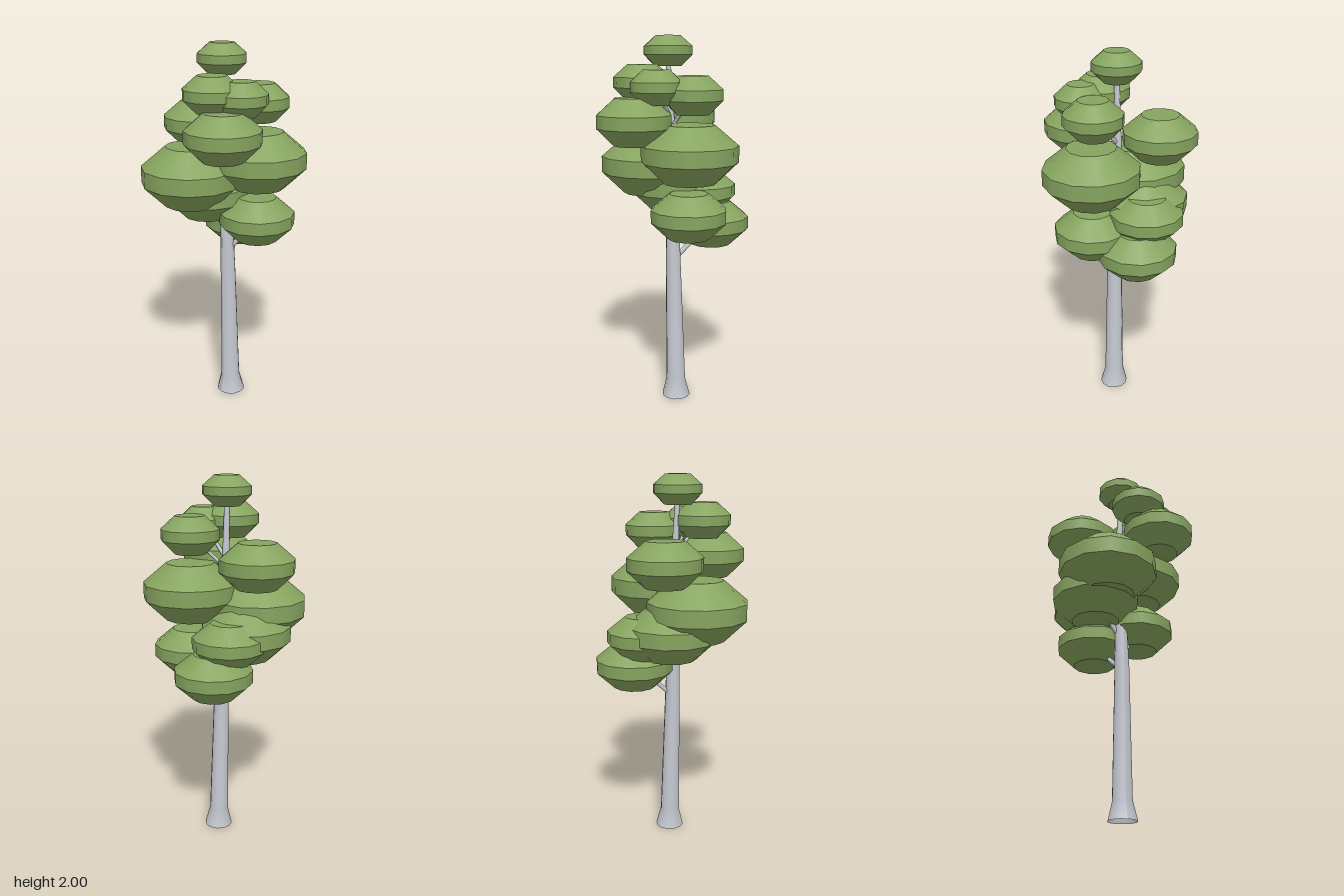
import * as THREE from 'three';
import { mergeGeometries } from 'three/addons/utils/BufferGeometryUtils.js';

const leafGreen = new THREE.MeshStandardMaterial({ color: 0x86a45f });
const barkGrey = new THREE.MeshStandardMaterial({ color: 0xc4c8d0, side: THREE.DoubleSide });
leafGreen.name = 'leafGreen';
barkGrey.name = 'barkGrey';

// Leaf clumps: x, z, bottom y, top y, radius
const CLUMPS = [
  [0.01, 0.025, 1.845, 2.0, 0.128],
  [0.077, 0.15, 1.67, 1.855, 0.15],
  [0.19, 0.058, 1.655, 1.83, 0.135],
  [0.138, -0.12, 1.605, 1.80, 0.154],
  [-0.21, -0.01, 1.445, 1.68, 0.196],
  [0.185, 0.175, 1.45, 1.69, 0.196],
  [0.15, -0.107, 1.255, 1.555, 0.253],
  [-0.103, 0.143, 1.155, 1.472, 0.267],
  [-0.13, 0.01, 1.055, 1.335, 0.238],
  [-0.13, -0.135, 1.06, 1.28, 0.195],
  [0.15, -0.103, 0.96, 1.20, 0.202],
  [-0.075, -0.2, 0.88, 1.12, 0.208],
];

// Trunk rings: y, centre x, centre z, radius
const TRUNK = [
  [0, 0.034, -0.022, 0.078],
  [0.1, 0.032, -0.02, 0.053],
  [0.8, 0.026, -0.004, 0.041],
  [1.05, 0.02, 0, 0.034],
  [1.5, 0.006, 0.008, 0.021],
  [1.9, 0.01, 0.025, 0.012],
];

// Trunk centre at a given height
function trunkPoint(y) {
  let i = 1;
  while (i < TRUNK.length - 1 && TRUNK[i][0] < y) i++;
  const a = TRUNK[i - 1], b = TRUNK[i], t = (y - a[0]) / (b[0] - a[0]);
  return new THREE.Vector3(a[1] + (b[1] - a[1]) * t, y, a[2] + (b[2] - a[2]) * t);
}

// One open tube bent through the trunk rings
function trunkGeometry() {
  const sides = 12, n = TRUNK.length;
  const geo = new THREE.CylinderGeometry(1, 1, 1, sides, n - 1, true);
  const p = geo.attributes.position;
  for (let i = 0; i < p.count; i++) {
    const [y, cx, cz, r] = TRUNK[n - 1 - Math.floor(i / (sides + 1))];
    p.setXYZ(i, cx + p.getX(i) * r, y, cz + p.getZ(i) * r);
  }
  geo.computeVertexNormals();
  return geo;
}

// Flat-capped clump: smooth around, sharp between the rings
function clumpGeometry(r, h) {
  const rings = [[0, 0.55], [0.37, 1], [0.65, 1], [1, 0.51]];
  const parts = [];
  for (let i = 0; i < 3; i++) {
    const [y0, r0] = rings[i], [y1, r1] = rings[i + 1];
    parts.push(new THREE.CylinderGeometry(r1 * r, r0 * r, (y1 - y0) * h, 12, 1, true)
      .translate(0, (y0 + y1) / 2 * h, 0));
  }
  parts.push(new THREE.CircleGeometry(0.51 * r, 12).rotateX(-Math.PI / 2).translate(0, h, 0));
  parts.push(new THREE.CircleGeometry(0.55 * r, 12).rotateX(Math.PI / 2));
  return mergeGeometries(parts);
}

// Tapered branch between two points
function branch(from, to, r) {
  const dir = to.clone().sub(from);
  const mesh = new THREE.Mesh(new THREE.CylinderGeometry(r * 0.6, r, dir.length(), 6), barkGrey);
  mesh.position.copy(from).addScaledVector(dir, 0.5);
  mesh.quaternion.setFromUnitVectors(new THREE.Vector3(0, 1, 0), dir.normalize());
  mesh.name = 'branch';
  return mesh;
}

export function createModel() {
  const tree = new THREE.Group();
  tree.name = 'tree';

  const trunk = new THREE.Mesh(trunkGeometry(), barkGrey);
  trunk.name = 'trunk';
  tree.add(trunk);

  const foliage = new THREE.Group();
  foliage.name = 'foliage';
  const branches = new THREE.Group();
  branches.name = 'branches';
  tree.add(foliage, branches);

  CLUMPS.forEach(([x, z, y0, y1, r], i) => {
    const clump = new THREE.Mesh(clumpGeometry(r, y1 - y0), leafGreen);
    clump.name = 'leafClump';
    clump.position.set(x, y0, z);
    clump.rotation.y = i * 0.19;
    foliage.add(clump);

    // Each side clump hangs on a branch from the trunk
    if (i > 0) {
      const tip = new THREE.Vector3(x, (y0 + y1) / 2, z);
      const start = trunkPoint(y0 - 0.08);
      branches.add(branch(start, tip, y0 > 1.4 ? 0.011 : 0.015));
    }
  });
  return tree;
}
